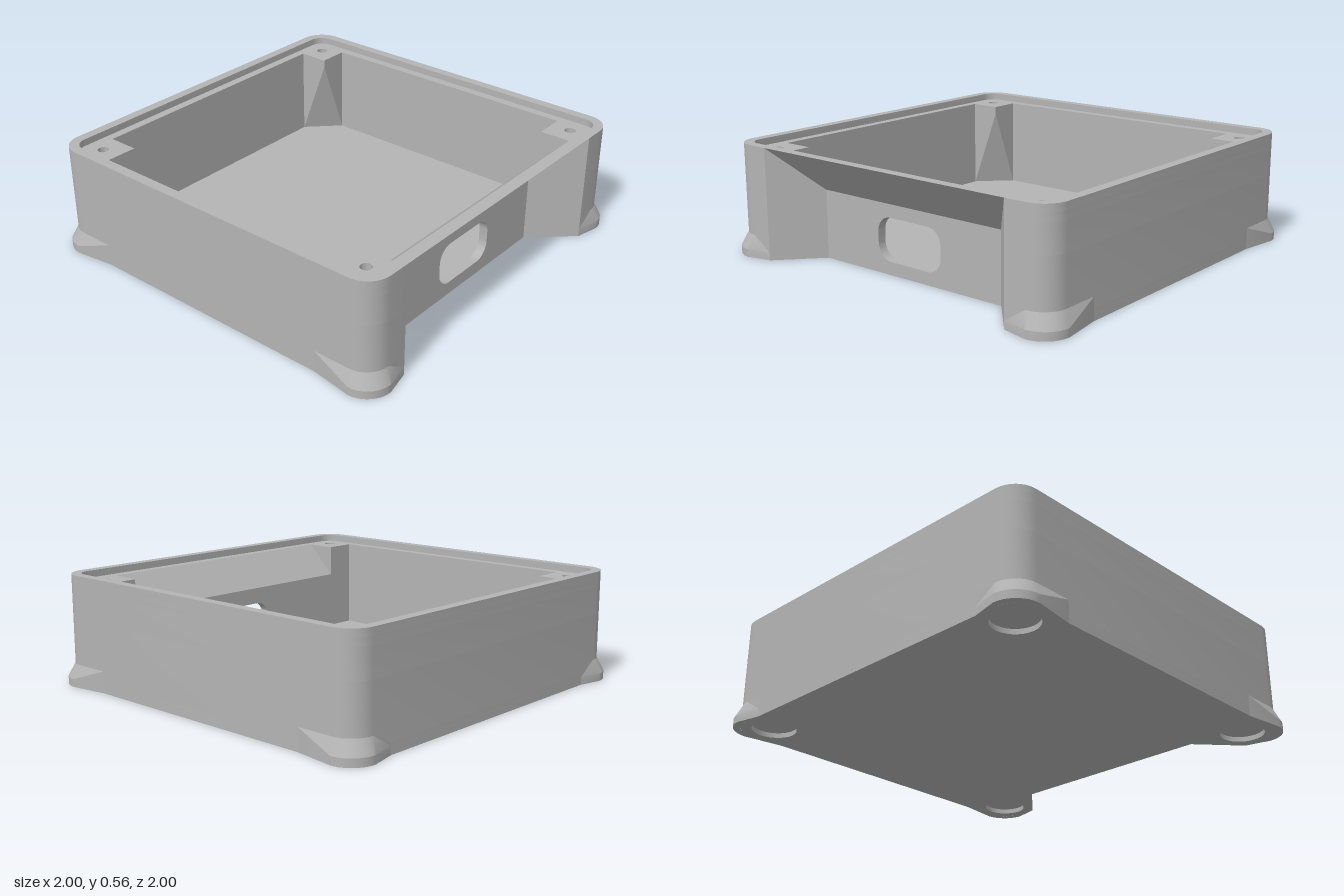
import * as THREE from 'three';
import { toCreasedNormals } from 'three/addons/utils/BufferGeometryUtils.js';
import { ConvexGeometry } from 'three/addons/geometries/ConvexGeometry.js';

const OUT = 0.97, RAD = 0.12, IN = 0.875, POST = 0.715; // half widths of body, cavity and posts
const RECESS = 0.76, RZ0 = 0.55, RZ1 = 0.74;            // recess depth and its half lengths
const FLOOR = 0.055, ROOF = 0.345, POST_Y = 0.485, LEDGE = 0.525, TOP = 0.56;
const HOLE = 0.82;                                      // screw and foot centres

// Open rounded square in (x, z), from (h, end) around the far side to (h, -end)
function outline(h, r, end) {
  const pts = [[h, end]];
  [[1, 1], [-1, 1], [-1, -1], [1, -1]].forEach(([sx, sz], k) => {
    for (let i = 0; i <= 8; i++) {
      const a = (k + i / 8) * Math.PI / 2;
      pts.push([sx * (h - r) + r * Math.cos(a), sz * (h - r) + r * Math.sin(a)]);
    }
  });
  pts.push([h, -end]);
  return pts;
}

// Mirrors a half path (z > 0) so that it runs on through z < 0
const mirrored = (half) => [...half, ...half.map(([x, z]) => [x, -z]).reverse()];

// Horizontal plate from a plan outline, with round holes [x, z, r]
function slab(pts, y0, y1, holes = []) {
  const shape = new THREE.Shape(pts.map(([x, z]) => new THREE.Vector2(x, z)));
  for (const [x, z, r] of holes) {
    const p = new THREE.Path();
    p.absarc(x, z, r, 0, Math.PI * 2, true);
    shape.holes.push(p);
  }
  const geo = new THREE.ExtrudeGeometry(shape, { depth: y1 - y0, bevelEnabled: false, curveSegments: 14 });
  geo.rotateX(Math.PI / 2).translate(0, y1, 0);
  return toCreasedNormals(geo, 0.4);
}

// Skin between open cross-sections of equal length
function loft(rings) {
  const n = rings[0].length, index = [];
  for (let j = 0; j < rings.length - 1; j++) {
    for (let i = 0; i < n - 1; i++) {
      const a = j * n + i, b = a + 1, d = a + n, c = d + 1;
      index.push(a, c, b, a, d, c);
    }
  }
  const geo = new THREE.BufferGeometry();
  geo.setAttribute('position', new THREE.Float32BufferAttribute(rings.flat(2), 3));
  geo.setIndex(index);
  return toCreasedNormals(geo, 0.4);
}

const corners = (r) => [[1, 1], [-1, 1], [-1, -1], [1, -1]].map(([x, z]) => [x * HOLE, z * HOLE, r]);

export function createModel() {
  const group = new THREE.Group();
  const grey = new THREE.MeshStandardMaterial({ color: 0xb4b4b4 });
  grey.name = 'grey plastic';
  const add = (name, geo, sx = 1, sz = 1) => {
    const mesh = new THREE.Mesh(geo, grey);
    mesh.name = name;
    mesh.scale.set(sx, 1, sz);
    group.add(mesh);
  };
  const outer = outline(OUT, RAD, RZ1);

  // Floor, with four shallow round foot pockets underneath
  const floorPlan = [...outer, [RECESS, -RZ0], [RECESS, RZ0]];
  add('footPocketPlate', slab(floorPlan, 0, 0.025, corners(0.11)));
  add('floor', slab(floorPlan, 0.025, FLOOR));

  // Walls, open at the recess on the +x side
  const lowerInner = mirrored([[RECESS, RZ0], [POST, RZ0], [POST, IN], [-IN, IN]]);
  add('lowerWalls', slab([...outer, ...lowerInner.reverse()], FLOOR, ROOF));
  const end = [[IN, RZ1], [IN, POST], [POST, POST], [POST, IN]];
  add('upperWalls', slab([...outer, ...mirrored([...end, [-IN, IN]]).reverse()], ROOF, POST_Y));

  // Lid ledge with corner posts and screw holes
  const ledgeInner = mirrored([...end, [-POST, IN], [-POST, POST], [-IN, POST]]);
  add('lidLedge', slab([...outer, ...ledgeInner.reverse()], POST_Y, LEDGE, corners(0.028)));

  // Raised rim
  add('rim', slab([...outer, ...outline(0.92, 0.07, RZ1).reverse()], LEDGE, TOP));

  // Corner posts that taper to a diagonal at the floor
  const postPoints = [
    [IN, POST_Y, IN], [POST, POST_Y, IN], [IN, POST_Y, POST], [POST, POST_Y, POST],
    [IN, FLOOR, IN], [POST, FLOOR, IN], [IN, FLOOR, POST],
  ].map(([x, y, z]) => new THREE.Vector3(-x, y, z));
  const post = toCreasedNormals(new ConvexGeometry(postPoints), 0.2);
  for (const sz of [1, -1]) add('taperedPost', post, 1, sz);

  // Recessed panel with a rounded opening
  const panel = new THREE.Shape([[-RZ0, FLOOR], [RZ0, FLOOR], [RZ0, ROOF], [-RZ0, ROOF]]
    .map(([x, y]) => new THREE.Vector2(x, y)));
  const port = new THREE.Path(), w = 0.197, y0 = 0.065, y1 = 0.28, r = 0.08;
  port.absarc(w - r, y0 + r, r, -Math.PI / 2, 0);
  port.absarc(w - r, y1 - r, r, 0, Math.PI / 2);
  port.absarc(-w + r, y1 - r, r, Math.PI / 2, Math.PI);
  port.absarc(-w + r, y0 + r, r, Math.PI, Math.PI * 1.5);
  port.closePath();
  panel.holes.push(port);
  const panelGeo = new THREE.ExtrudeGeometry(panel, { depth: RECESS - POST, bevelEnabled: false, curveSegments: 8 });
  panelGeo.rotateY(Math.PI / 2).translate(POST, 0, 0);
  add('portPanel', toCreasedNormals(panelGeo, 0.4));

  // Sloping recess roof with hipped ends, one half mirrored
  const roofSection = (z, x) => [
    [POST, ROOF], [POST, 0.365], [IN, LEDGE], [0.92, LEDGE], [0.92, TOP], [OUT, TOP], [x, ROOF], [POST, ROOF],
  ].map(([px, py]) => [px, py, z]);
  const roof = loft([roofSection(-RZ1, OUT), roofSection(-RZ0, RECESS), roofSection(0, RECESS)]);
  for (const sz of [1, -1]) add('recessRoof', roof, 1, sz);

  // Flared feet around the bottom corners
  const footRing = (h, rad, y) => {
    const ring = [[OUT, y, RZ1]];
    for (let i = 0; i <= 10; i++) {
      const a = i / 10 * Math.PI / 2;
      ring.push([h - rad + rad * Math.cos(a), y, h - rad + rad * Math.sin(a)]);
    }
    ring.push([0.66, y, OUT]);
    return ring;
  };
  const foot = loft([
    footRing(OUT, RAD, 0), footRing(1, 0.13, 0), footRing(1, 0.13, 0.04), footRing(OUT, RAD, 0.11),
  ]);
  for (const sx of [1, -1]) for (const sz of [1, -1]) add('flaredFoot', foot, sx, sz);

  return group;
}
